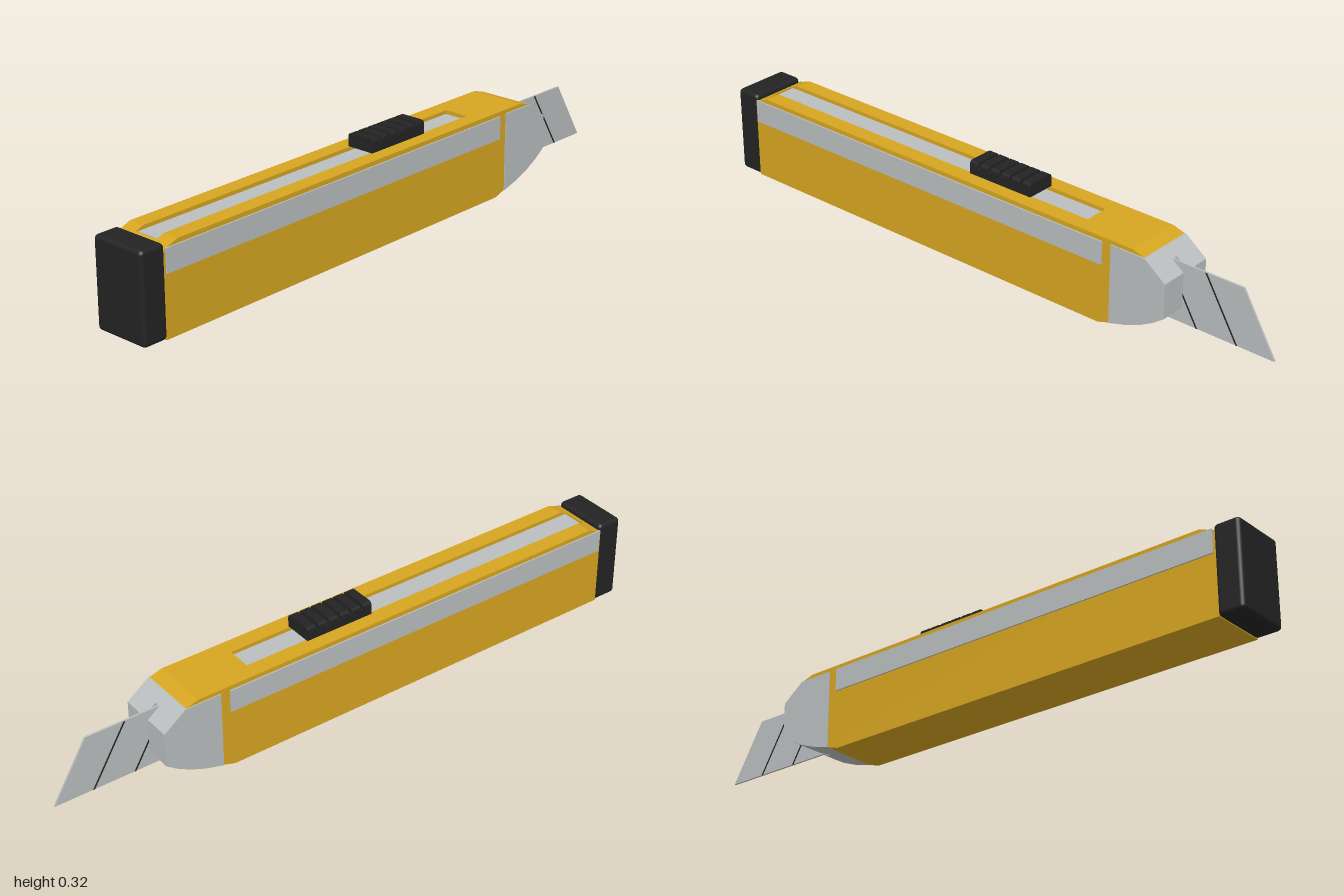
import * as THREE from 'three';
import { RoundedBoxGeometry } from 'three/addons/geometries/RoundedBoxGeometry.js';

const material = (name, color) => {
  const m = new THREE.MeshStandardMaterial({ color });
  m.name = name;
  return m;
};

export function createModel() {
  const yellow = material('yellow plastic', 0xd6a520);
  const metal = material('grey metal', 0xbabebe);
  const black = material('black plastic', 0x232323);
  const group = new THREE.Group();

  const add = (name, geometry, mat, x = 0, y = 0, z = 0) => {
    const mesh = new THREE.Mesh(geometry, mat);
    mesh.name = name;
    mesh.position.set(x, y, z);
    group.add(mesh);
    return mesh;
  };
  // Side profile in x and y, extruded from z0 to z1
  const slab = (name, points, z0, z1, mat) => {
    const shape = new THREE.Shape(points.map(([x, y]) => new THREE.Vector2(x, y)));
    const geometry = new THREE.ExtrudeGeometry(shape, { depth: z1 - z0, bevelEnabled: false });
    return add(name, geometry, mat, 0, 0, z0);
  };
  const box = (name, x0, x1, y0, y1, z0, z1, mat) =>
    add(name, new THREE.BoxGeometry(x1 - x0, y1 - y0, z1 - z0), mat,
      (x0 + x1) / 2, (y0 + y1) / 2, (z0 + z1) / 2);

  // Handle: two side rails and a middle with a channel in its top
  const lower = [[-0.92, 0], [0.46, 0], [0.5, 0.013], [0.5, 0.265], [0.615, 0.265], [0.575, 0.277]];
  const back = [[-0.87, 0.277], [-0.92, 0.258]];
  const channel = [[0.375, 0.277], [0.375, 0.262], [-0.895, 0.262], [-0.895, 0.2675]];
  slab('handleMiddle', [...lower, ...channel, [-0.92, 0.258]], -0.04, 0.04, yellow);
  slab('handleLeftRail', [...lower, ...back], 0.04, 0.092, yellow);
  slab('handleRightRail', [...lower, ...back], -0.092, -0.04, yellow);
  box('channelFloor', -0.89, 0.372, 0.26, 0.266, -0.039, 0.039, metal);

  // Side strips
  for (const s of [1, -1]) {
    box('sideStrip', -0.914, 0.47, 0.19, 0.263, s * 0.094 - 0.0025, s * 0.094 + 0.0025, metal);
  }

  // Nose: two cheeks around a slotted middle
  const under = [[0.5, 0.013], [0.56, 0.03], [0.61, 0.05], [0.655, 0.075]];
  const cheek = [...under, [0.69, 0.1], [0.69, 0.21], [0.618, 0.264], [0.5, 0.264]];
  slab('noseCheekLeft', cheek, 0.01, 0.0945, metal);
  slab('noseCheekRight', cheek, -0.0945, -0.01, metal);
  slab('noseMiddle', [[0.5, 0.013], [0.56, 0.03], [0.585, 0.04], [0.56, 0.04], [0.56, 0.24],
    [0.65, 0.24], [0.618, 0.264], [0.5, 0.264]], -0.01, 0.01, metal);

  // Blade with snap lines
  slab('blade', [[0.55, 0.047], [0.997, 0.047], [0.885, 0.235], [0.55, 0.235]], -0.003, 0.003, metal);
  const w = 0.003;
  for (const x of [0.69, 0.872]) {
    const topX = x + 0.047 < 0.75 ? 0.627 : 0.76;
    const bottomX = x < 0.8 ? 0.737 : 0.872;
    slab('snapLine', [[bottomX - w, 0.047], [bottomX + w, 0.047], [topX + w, 0.234], [topX - w, 0.234]],
      -0.0036, 0.0036, black);
  }

  // End cap
  add('endCap', new RoundedBoxGeometry(0.085, 0.277, 0.187, 3, 0.013), black, -0.9575, 0.1385, 0);

  // Thumb slider with grip ridges
  box('sliderStem', -0.03, 0.14, 0.262, 0.285, -0.025, 0.025, black);
  box('sliderBase', -0.06, 0.17, 0.277, 0.302, -0.047, 0.047, black);
  const r = 0.013;
  const ridge = new THREE.Shape();
  ridge.moveTo(-0.047, 0.29);
  ridge.lineTo(0.047, 0.29);
  ridge.lineTo(0.047, 0.319 - r);
  ridge.quadraticCurveTo(0.047, 0.319, 0.047 - r, 0.319);
  ridge.lineTo(-0.047 + r, 0.319);
  ridge.quadraticCurveTo(-0.047, 0.319, -0.047, 0.319 - r);
  const ridgeGeometry = new THREE.ExtrudeGeometry(ridge,
    { depth: 0.03, bevelEnabled: false, curveSegments: 5 });
  ridgeGeometry.rotateY(Math.PI / 2);
  for (let i = 0; i < 6; i++) add('gripRidge', ridgeGeometry, black, -0.06 + i * 0.04, 0, 0);

  return group;
}
